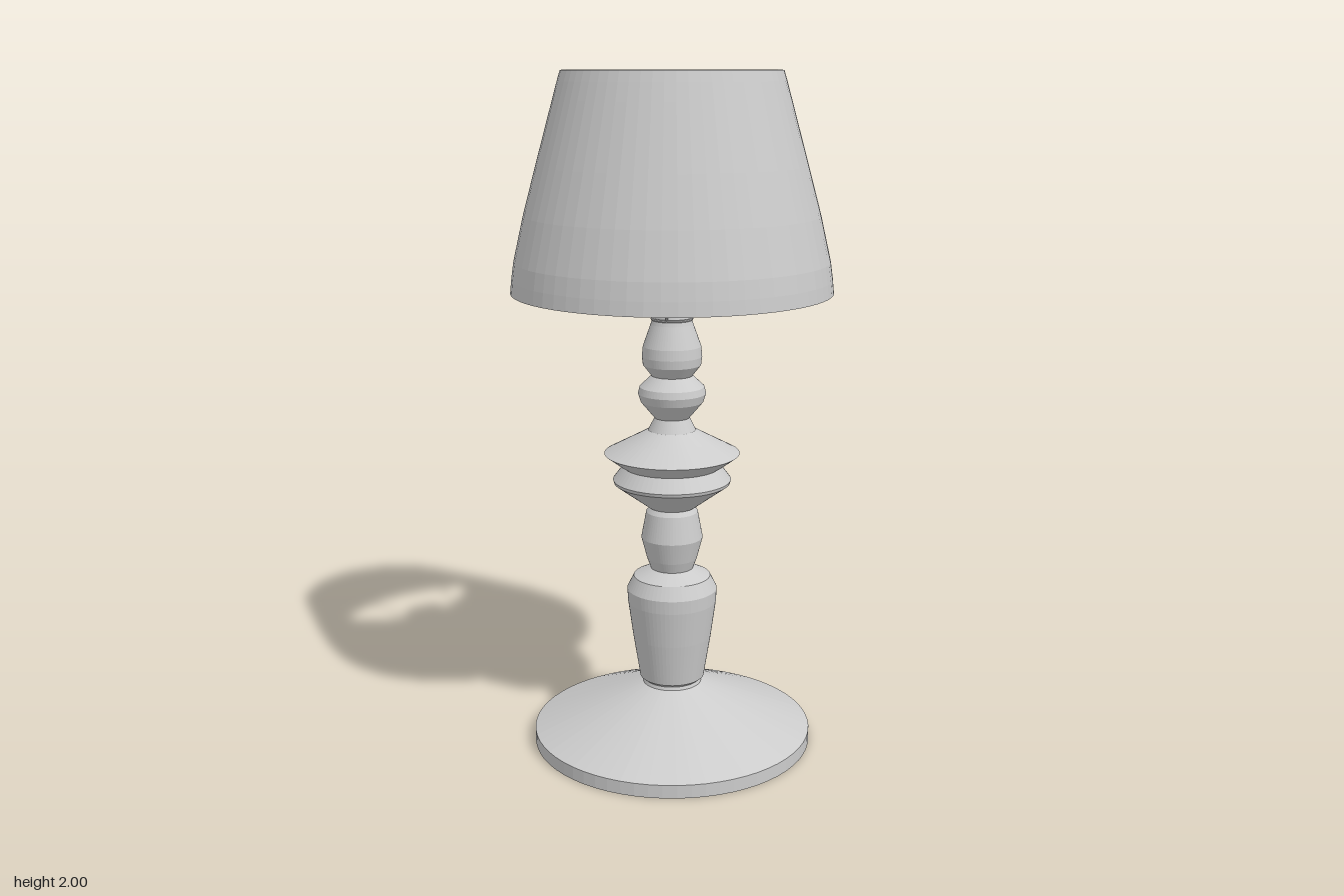
import * as THREE from 'three';

const SEGMENTS = 64;

export function createModel() {
  const lamp = new THREE.Group();
  lamp.name = 'tableLamp';
  const material = new THREE.MeshStandardMaterial({ color: 0xcccccc, flatShading: true });
  const thinMaterial = new THREE.MeshStandardMaterial({ color: 0xcccccc, flatShading: true, side: THREE.DoubleSide });

  const add = (name, geometry, mat = material) => {
    const mesh = new THREE.Mesh(geometry, mat);
    mesh.name = name;
    lamp.add(mesh);
    return mesh;
  };
  // Turned part from [radius, height] pairs, listed bottom to top
  const turn = (name, profile, mat) =>
    add(name, new THREE.LatheGeometry(profile.map(([r, y]) => new THREE.Vector2(r, y)), SEGMENTS), mat);

  // Foot: flat disc with a conical top
  turn('base', [[0, 0], [0.42, 0], [0.42, 0.04], [0.09, 0.18], [0, 0.18]]);

  // Turned stem, one bead at a time
  turn('lowerVase', [[0, 0.175], [0.09, 0.175], [0.085, 0.19], [0.097, 0.2], [0.118, 0.33], [0.133, 0.44],
    [0.135, 0.48], [0.115, 0.52], [0.062, 0.545], [0, 0.545]]);
  turn('middleBead', [[0, 0.54], [0.062, 0.54], [0.075, 0.575], [0.092, 0.64], [0.077, 0.72], [0.062, 0.74], [0, 0.74]]);
  turn('doubleDisc', [[0, 0.735], [0.07, 0.735], [0.172, 0.81], [0.175, 0.82], [0.145, 0.86], [0.16, 0.87],
    [0.2, 0.9], [0.125, 0.94], [0.07, 0.97], [0.05, 1.01], [0, 1.01]]);
  turn('ringBead', [[0, 1.005], [0.05, 1.005], [0.092, 1.055], [0.1, 1.08], [0.095, 1.1], [0.058, 1.135], [0, 1.135]]);
  turn('upperBead', [[0, 1.13], [0.058, 1.13], [0.085, 1.165], [0.088, 1.19], [0.085, 1.22], [0.062, 1.285],
    [0.058, 1.3], [0, 1.3]]);
  turn('socket', [[0, 1.295], [0.05, 1.295], [0.036, 1.36], [0.044, 1.365], [0.044, 1.385], [0, 1.385]]);

  // Bulb: tapering neck running into a round head
  const bulb = [[0, 1.38], [0.038, 1.38], [0.042, 1.43], [0.06, 1.49], [0.08, 1.54]];
  for (let i = 0; i <= 14; i++) {
    const a = THREE.MathUtils.lerp(-0.25, Math.PI / 2, i / 14);
    bulb.push([Math.max(0, 0.101 * Math.cos(a)), 1.59 + 0.101 * Math.sin(a)]);
  }
  turn('bulb', bulb);

  // Shade: hollow shell with a thicker rim at the top
  const outside = [[0.464, 1.38], [0.46, 1.42], [0.453, 1.47], [0.423, 1.6], [0.385, 1.74], [0.335, 1.92], [0.321, 1.97], [0.312, 2]];
  const inside = [[0.298, 2], [0.303, 1.97], [0.327, 1.92], [0.379, 1.74], [0.417, 1.6], [0.447, 1.47], [0.455, 1.42], [0.459, 1.38]];
  turn('shade', [...outside, ...inside, outside[0]], thinMaterial);

  // Wire frame carrying the shade: top ring, collar and four struts
  const ring = (name, radius, y) => {
    const mesh = add(name, new THREE.TorusGeometry(radius, 0.004, 8, SEGMENTS));
    mesh.rotation.x = Math.PI / 2;
    mesh.position.y = y;
  };
  ring('shadeRing', 0.297, 1.965);
  ring('wireCollar', 0.058, 1.3);
  for (let i = 0; i < 4; i++) {
    const path = new THREE.LineCurve3(new THREE.Vector3(0.058, 1.3, 0), new THREE.Vector3(0.297, 1.965, 0));
    add(`shadeStrut${i + 1}`, new THREE.TubeGeometry(path, 1, 0.004, 8)).rotation.y = i * Math.PI / 2;
  }
  return lamp;
}
